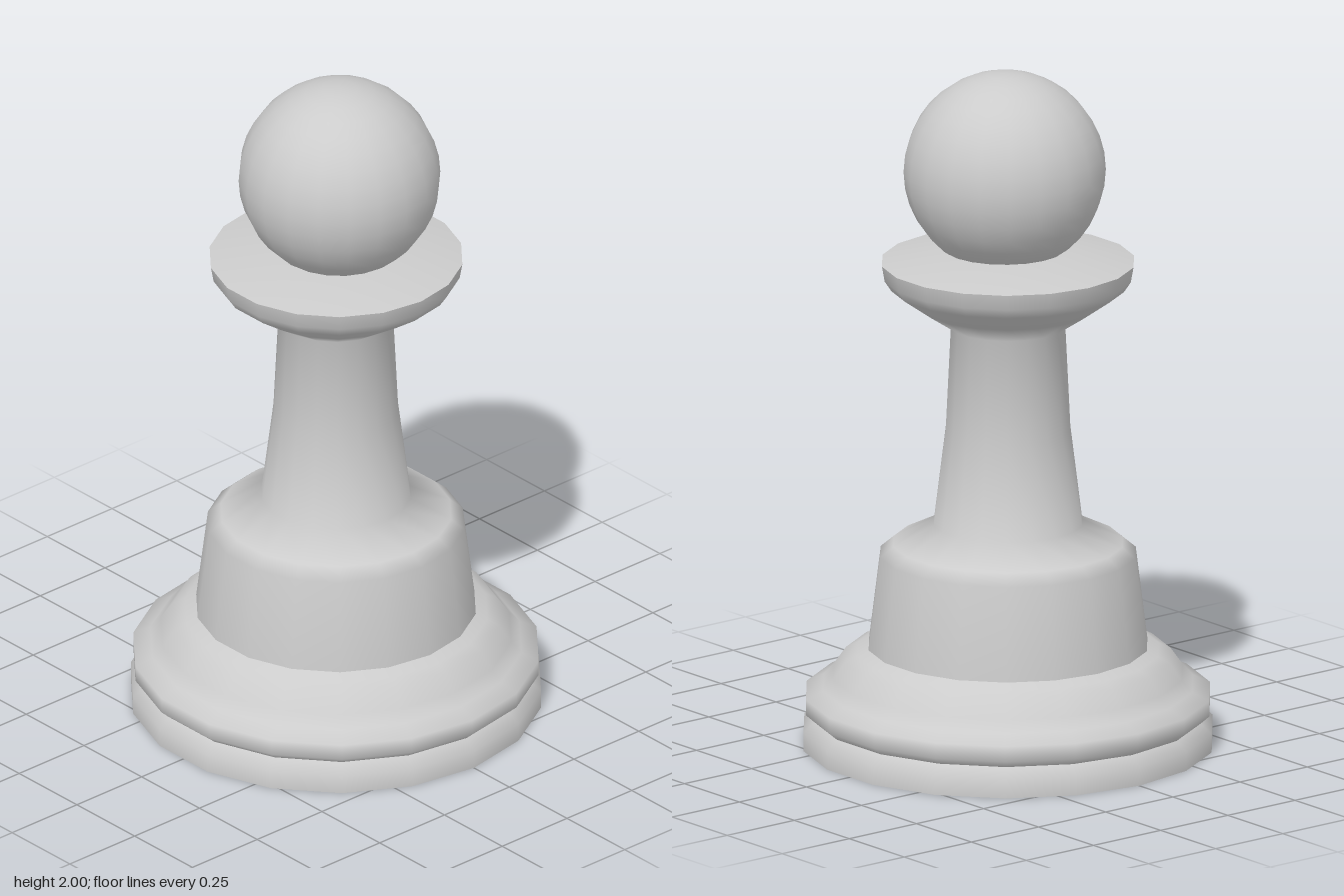
import * as THREE from 'three';

const SIDES = 18;

export function createModel() {
  const group = new THREE.Group();
  const material = new THREE.MeshStandardMaterial({ color: 0xcccccc });

  function add(name, geometry) {
    const mesh = new THREE.Mesh(geometry, material);
    mesh.name = name;
    group.add(mesh);
    return mesh;
  }

  // Turned part from [radius, height] pairs, bottom to top, with a corner on +x
  function turned(name, profile) {
    const points = profile.map(([r, y]) => new THREE.Vector2(r, y));
    return add(name, new THREE.LatheGeometry(points, SIDES, Math.PI / 2));
  }

  // Base: flat underside, foot ring, and moulding above the groove
  turned('underside', [[0, 0], [0.597, 0]]);
  turned('footRing', [[0.597, 0], [0.597, 0.055], [0.565, 0.085]]);
  turned('baseMoulding', [
    [0.565, 0.085], [0.59, 0.107], [0.59, 0.153], [0.54, 0.177],
    [0.51, 0.21], [0.475, 0.26], [0.44, 0.278], [0.407, 0.293],
  ]);

  // Pedestal flowing into the tapered stem and the flared collar
  turned('stem', [
    [0.407, 0.293], [0.373, 0.568], [0.335, 0.6], [0.217, 0.658],
    [0.182, 0.94], [0.167, 1.247], [0.255, 1.305], [0.34, 1.365],
    [0.36, 1.395], [0.368, 1.44],
  ]);
  turned('collarTop', [[0.368, 1.44], [0.185, 1.475], [0, 1.475]]);

  // Ball head, set slightly off the axis
  const head = add('head', new THREE.SphereGeometry(0.292, 20, 18));
  head.position.set(0.015, 1.708, 0);

  return group;
}
